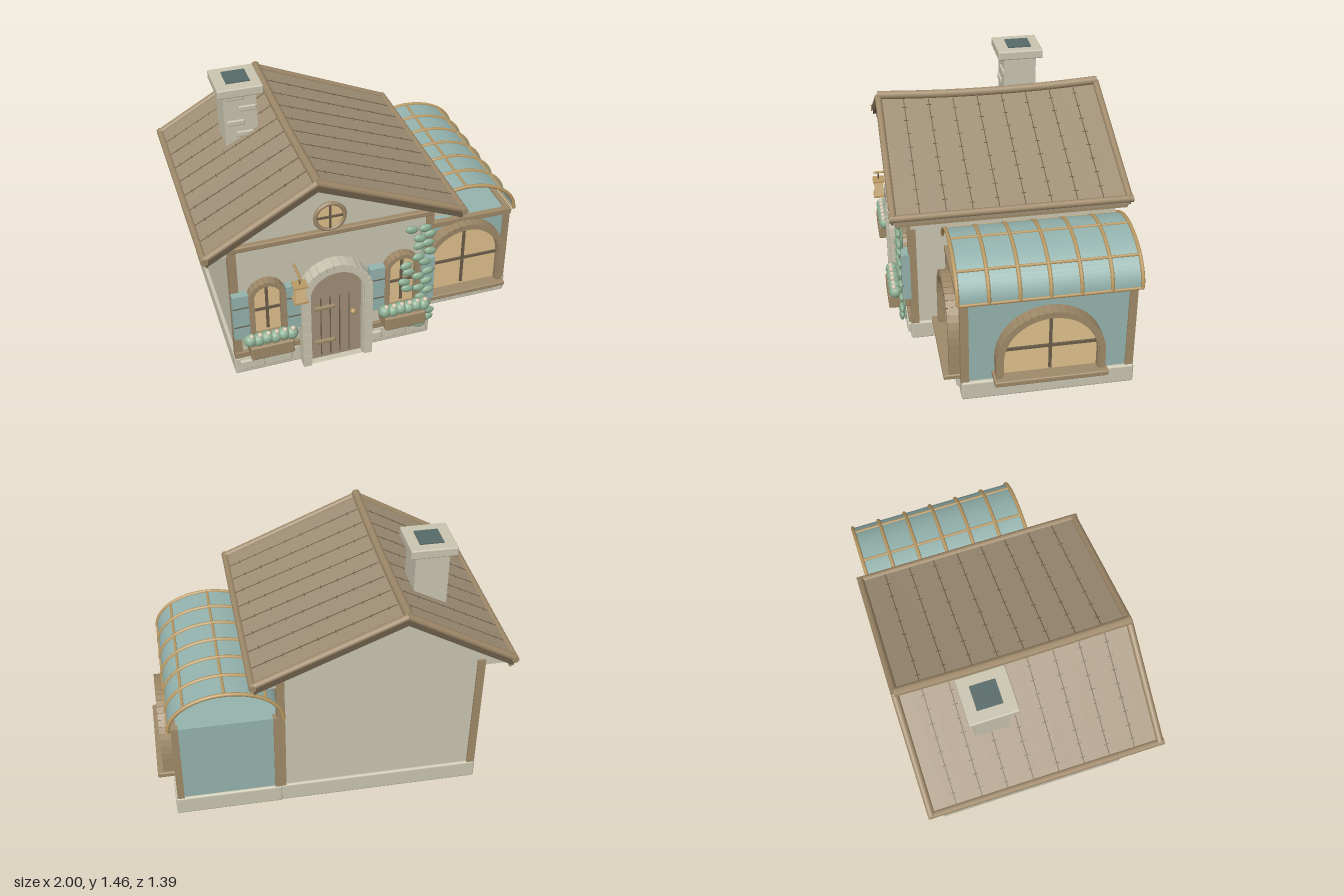
import * as THREE from 'three';
import { RoundedBoxGeometry } from 'three/addons/geometries/RoundedBoxGeometry.js';

const mat = (name, color, double) => {
  const m = new THREE.MeshStandardMaterial({ color });
  m.name = name;
  if (double) m.side = THREE.DoubleSide;
  return m;
};
const M = {
  wall: mat('plaster', 0xcac5b0),
  roof: mat('roofBrown', 0xa08f76),
  trim: mat('timber', 0x9f8969),
  dark: mat('darkTimber', 0x6b5e4a),
  teal: mat('teal', 0x94b3ae, true),
  amber: mat('amberGlass', 0xdfc08c),
  gold: mat('brass', 0xba9a64),
  leaf: mat('leaf', 0x8db093),
  petal: mat('petal', 0xd9cbb4),
  soot: mat('soot', 0x566a68),
};

function add(parent, name, geo, m, x = 0, y = 0, z = 0) {
  const mesh = new THREE.Mesh(geo, m);
  mesh.name = name;
  mesh.position.set(x, y, z);
  parent.add(mesh);
  return mesh;
}
// Box given by its limits on each axis
function span(parent, name, m, x0, x1, y0, y1, z0, z1, r = 0) {
  const s = [x1 - x0, y1 - y0, z1 - z0];
  const geo = r ? new RoundedBoxGeometry(...s, 2, r) : new THREE.BoxGeometry(...s);
  return add(parent, name, geo, m, (x0 + x1) / 2, (y0 + y1) / 2, (z0 + z1) / 2);
}
// Round bar between or through points
function bar(parent, name, m, r, pts) {
  const curve = new THREE.CatmullRomCurve3(pts.map(p => new THREE.Vector3(...p)));
  if (pts.length > 2) return add(parent, name, new THREE.TubeGeometry(curve, pts.length * 2, r, 8), m);
  const [a, b] = curve.points;
  const mesh = add(parent, name, new THREE.CylinderGeometry(r, r, a.distanceTo(b), 10), m);
  mesh.position.copy(a).lerp(b, 0.5);
  mesh.quaternion.setFromUnitVectors(new THREE.Vector3(0, 1, 0), b.clone().sub(a).normalize());
  return mesh;
}
function archShape(hw, spring) {
  const s = new THREE.Shape();
  s.moveTo(-hw, 0);
  s.lineTo(hw, 0);
  s.lineTo(hw, spring);
  s.absarc(0, spring, hw, 0, Math.PI, false);
  s.lineTo(-hw, 0);
  return s;
}
const extrude = (shape, depth) => new THREE.ExtrudeGeometry(shape, { depth, bevelEnabled: false, curveSegments: 24 });

// Arched opening with a ring of blocks, standing on its origin and facing +z
function arch(parent, name, { hw, spring, ring, depth, fill, block, arcN, jambN, barY, x, y, z, turn = 0 }) {
  const g = new THREE.Group();
  g.name = name;
  g.position.set(x, y, z);
  g.rotation.y = turn;
  parent.add(g);
  const inner = hw - ring;
  add(g, 'pane', extrude(archShape(inner, spring), depth * 0.4), fill);
  const backing = archShape(hw - 0.004, spring);
  backing.holes.push(archShape(inner - 0.006, spring));
  add(g, 'ring', extrude(backing, depth * 0.85), block);
  const mid = hw - ring / 2;
  const arcLen = Math.PI * mid / arcN;
  for (let i = 0; i < arcN; i++) {
    const a = (i + 0.5) / arcN * Math.PI;
    const b = add(g, 'archBlock', new THREE.BoxGeometry(ring, arcLen * 0.97, depth), block,
      Math.cos(a) * mid, spring + Math.sin(a) * mid, depth / 2);
    b.rotation.z = a;
  }
  for (const s of [-1, 1]) for (let i = 0; i < jambN; i++)
    add(g, 'jambBlock', new THREE.BoxGeometry(ring, spring / jambN * 0.97, depth), block,
      s * mid, (i + 0.5) * spring / jambN, depth / 2);
  if (barY) {
    const t = 0.008, zb = depth * 0.55;
    span(g, 'uprightBar', M.dark, -t, t, 0.02, spring + inner, 0, zb);
    span(g, 'crossBar', M.dark, -inner, inner, barY - t, barY + t, 0, zb);
  }
  return g;
}

// Roof: sagging ridge, straight eaves
const RIDGE = -0.37, EAVE_Y = 0.915;
const ridgeY = z => 1.237 + 0.022 * ((z + 0.02) / 0.65) ** 2;
const eaveX = s => (s > 0 ? 0.455 : -0.98);
function roofPoint(s, u, z, off = 0) {
  return [RIDGE + (eaveX(s) - RIDGE) * u, ridgeY(z) + (EAVE_Y - ridgeY(z)) * u + off, z];
}
function roofPiece(parent, name, m, s, u0, u1, z0, z1, low, high, seg = 1) {
  const geo = new THREE.BoxGeometry(1, 1, 1, 1, 1, seg);
  const p = geo.attributes.position;
  for (let i = 0; i < p.count; i++) {
    const t = 0.5 + s * p.getX(i);
    p.setXYZ(i, ...roofPoint(s, u0 + (u1 - u0) * t, z0 + (z1 - z0) * (p.getZ(i) + 0.5),
      low + (high - low) * (p.getY(i) + 0.5)));
  }
  geo.computeVertexNormals();
  add(parent, name, geo, m);
}
function buildRoof(g) {
  for (const s of [-1, 1]) {
    roofPiece(g, 'roofSlope', M.roof, s, 0, 1, -0.675, 0.64, -0.04, 0.005, 14);
    for (let i = 0; i < 8; i++) {
      const z = -0.53 + i * 0.146;
      roofPiece(g, 'plankSeam', M.dark, s, 0.03, 0.98, z - 0.0025, z + 0.0025, 0, 0.0075);
      for (let k = 0; k < 8; k++) {
        const u = 0.08 + k * 0.115 + (i % 3) * 0.02;
        roofPiece(g, 'shingleNotch', M.dark, s, u, u + 0.005, z - 0.015, z + 0.015, 0, 0.0065);
      }
    }
    for (const z of [0.638, -0.675]) {
      bar(g, 'bargeRoll', M.trim, 0.02, [roofPoint(s, 0, z, 0.005), roofPoint(s, 1, z, 0.003)]);
      roofPiece(g, 'bargeBoard', M.dark, s, 0, 0.99, z - 0.012, z + 0.012, -0.045, 0);
    }
    bar(g, 'eaveRoll', M.trim, 0.02, [[eaveX(s), EAVE_Y, -0.695], [eaveX(s), EAVE_Y, 0.66]]);
    const x = s > 0 ? 0.44 : -0.965;
    span(g, 'fascia', M.trim, x - 0.006, x + 0.006, 0.855, 0.89, -0.67, 0.63);
  }
  bar(g, 'ridgeRoll', M.trim, 0.026, [0.645, 0.3, -0.02, -0.35, -0.68].map(z => [RIDGE, ridgeY(z) + 0.015, z]));
}

function buildShell(g) {
  // Footings and their facing stones
  span(g, 'mainFooting', M.wall, -0.85, 0.32, 0, 0.115, -0.615, 0.56, 0.012);
  span(g, 'annexFooting', M.wall, 0.3, 0.91, 0, 0.115, -0.62, 0.345, 0.012);
  const stones = [[-0.82, -0.68, 0.56], [-0.66, -0.52, 0.56], [-0.05, 0.02, 0.56], [0.04, 0.17, 0.56], [0.19, 0.3, 0.56],
    [0.34, 0.44, 0.345], [0.46, 0.57, 0.345], [0.59, 0.7, 0.345], [0.72, 0.83, 0.345]];
  for (const [a, b, z] of stones) span(g, 'facingStone', M.wall, a, b, 0.035, 0.1, z - 0.02, z + 0.018, 0.009);

  // House body with gables
  const pts = [[-0.83, 0.1], [0.305, 0.1], [0.305, 0.83], [0.44, 0.83], [0.44, 0.885], [RIDGE, 1.21], [-0.965, 0.885], [-0.965, 0.83], [-0.83, 0.83]];
  const body = extrude(new THREE.Shape(pts.map(p => new THREE.Vector2(...p))), 1.145);
  add(g, 'houseBody', body, M.wall, 0, 0, -0.6);
  for (const x of [-0.845, 0.275]) for (const z of [-0.612, 0.51])
    span(g, 'cornerPost', M.trim, x, x + 0.045, 0.112, 0.87, z, z + 0.047);
  span(g, 'frontBeam', M.trim, -0.85, 0.315, 0.865, 0.9, 0.53, 0.575, 0.008);
  span(g, 'sillBeam', M.trim, -0.845, -0.465, 0.125, 0.16, 0.53, 0.57);
  span(g, 'sillBeam', M.trim, -0.06, 0.315, 0.125, 0.16, 0.53, 0.57);

  // Annex
  span(g, 'annexBody', M.teal, 0.3, 0.89, 0.11, 0.62, -0.605, 0.335);
  for (const [x, z] of [[0.86, 0.302], [0.86, -0.615], [0.3, -0.615], [0.3, 0.302]])
    span(g, 'annexPost', M.trim, x, x + 0.04, 0.112, 0.625, z, z + 0.045);
  span(g, 'annexBeam', M.trim, 0.31, 0.905, 0.595, 0.627, 0.315, 0.352);
  span(g, 'annexSideBeam', M.trim, 0.87, 0.905, 0.615, 0.63, -0.615, 0.34);

  // Barrel vault of glass, open at both ends
  const vault = new THREE.CylinderGeometry(1, 1, 1.0, 32, 1, true, Math.PI / 2, Math.PI);
  vault.rotateX(Math.PI / 2).scale(0.313, 0.215, 1);
  add(g, 'vaultGlass', vault, M.teal, 0.6, 0.635, -0.137);
  const onVault = (a, z) => [0.6 + 0.315 * Math.cos(a), 0.635 + 0.216 * Math.sin(a), z];
  for (let i = 0; i < 7; i++) {
    const z = 0.358 - i * 0.165;
    bar(g, 'vaultRib', M.gold, 0.011, Array.from({ length: 17 }, (_, k) => onVault(k / 16 * Math.PI, z)));
  }
  for (let i = 0; i < 5; i++)
    bar(g, 'vaultPurlin', M.gold, 0.008, [onVault(i * Math.PI / 4, 0.36), onVault(i * Math.PI / 4, -0.635)]);
}

function buildOpenings(g) {
  const pane = { fill: M.amber, block: M.trim };
  arch(g, 'annexFrontWindow', { ...pane, hw: 0.26, spring: 0.205, ring: 0.036, depth: 0.07, arcN: 20, jambN: 5, barY: 0.2, x: 0.6, y: 0.145, z: 0.335 });
  span(g, 'annexFrontSill', M.trim, 0.31, 0.865, 0.115, 0.145, 0.33, 0.437, 0.008);
  arch(g, 'annexSideWindow', { ...pane, hw: 0.3, spring: 0.11, ring: 0.036, depth: 0.075, arcN: 24, jambN: 3, barY: 0.17, x: 0.89, y: 0.16, z: -0.137, turn: Math.PI / 2 });
  span(g, 'annexSideSill', M.trim, 0.88, 0.998, 0.135, 0.168, -0.45, 0.177, 0.008);

  // Door with straps, grooves and knob
  const door = arch(g, 'door', { hw: 0.205, spring: 0.485, ring: 0.048, depth: 0.085, arcN: 15, jambN: 6, fill: M.roof, block: M.wall, x: -0.265, y: 0.01, z: 0.55 });
  for (const x of [-0.085, -0.03, 0.025, 0.08]) span(door, 'groove', M.dark, x - 0.003, x + 0.003, 0.02, 0.44, 0.02, 0.038);
  for (const y of [0.125, 0.375]) span(door, 'strap', M.trim, -0.125, -0.005, y - 0.012, y + 0.012, 0.02, 0.05, 0.005);
  add(door, 'knob', new THREE.SphereGeometry(0.018, 12, 8), M.gold, 0.1, 0.315, 0.052);

  // Cottage windows with shutters and flower boxes
  for (const x of [-0.652, 0.128]) {
    arch(g, 'cottageWindow', { ...pane, hw: 0.105, spring: 0.25, ring: 0.026, depth: 0.055, arcN: 11, jambN: 6, barY: 0.16, x, y: 0.3, z: 0.55 });
    for (const s of [-1, 1]) {
      const c = x + s * 0.149;
      span(g, 'shutter', M.teal, c - 0.044, c + 0.044, 0.29, 0.59, 0.55, 0.598);
      for (const y of [0.38, 0.51]) span(g, 'shutterBatten', M.dark, c - 0.044, c + 0.044, y - 0.003, y + 0.003, 0.59, 0.601);
    }
    span(g, 'flowerBox', M.trim, x - 0.123, x + 0.123, 0.185, 0.275, 0.55, 0.678, 0.01);
    for (let i = 0; i < 6; i++) {
      const bx = x + (i - 2.5) * 0.047;
      add(g, 'bush', new THREE.SphereGeometry(0.038, 12, 8), M.leaf, bx, 0.306 - (i % 2) * 0.006, 0.637);
      add(g, 'blossom', new THREE.SphereGeometry(0.015, 8, 6), M.petal, bx + 0.008, 0.335, 0.645);
    }
  }

  // Round gable window
  const r = new THREE.Group();
  r.name = 'gableWindow';
  r.position.set(-0.283, 0.985, 0.545);
  g.add(r);
  add(r, 'pane', new THREE.CylinderGeometry(0.08, 0.08, 0.02, 28).rotateX(Math.PI / 2), M.amber, 0, 0, 0.008);
  add(r, 'frame', new THREE.TorusGeometry(0.082, 0.012, 8, 28), M.trim, 0, 0, 0.018);
  span(r, 'uprightBar', M.dark, -0.006, 0.006, -0.075, 0.075, 0, 0.026);
  span(r, 'crossBar', M.dark, -0.075, 0.075, -0.006, 0.006, 0, 0.026);
}

function buildDetails(g) {
  // Chimney
  span(g, 'chimney', M.wall, -0.68, -0.49, 0.95, 1.42, -0.33, -0.135);
  span(g, 'chimneyCap', M.wall, -0.715, -0.455, 1.403, 1.457, -0.365, -0.095, 0.008);
  span(g, 'flue', M.soot, -0.65, -0.515, 1.44, 1.463, -0.305, -0.165);
  for (const [x, y] of [[-0.61, 1.385], [-0.54, 1.31], [-0.61, 1.225], [-0.56, 1.15]])
    span(g, 'chimneyBrick', M.wall, x - 0.055, x + 0.045, y - 0.016, y + 0.016, -0.145, -0.123, 0.006);

  // Lantern on a bracket
  bar(g, 'lanternArm', M.gold, 0.007, [[-0.487, 0.7, 0.545], [-0.487, 0.7, 0.69]]);
  bar(g, 'lanternHook', M.dark, 0.004, [[-0.487, 0.7, 0.662], [-0.487, 0.64, 0.662]]);
  span(g, 'lanternGlass', M.amber, -0.517, -0.457, 0.547, 0.645, 0.634, 0.69);
  for (const y of [0.538, 0.643]) span(g, 'lanternPlate', M.gold, -0.526, -0.448, y, y + 0.01, 0.627, 0.698);

  // Climbing ivy: two loose strands of leaves
  bar(g, 'ivyStem', M.leaf, 0.006, [[0.27, 0.115, 0.585], [0.24, 0.3, 0.59], [0.2, 0.45, 0.59], [0.25, 0.62, 0.585], [0.23, 0.82, 0.58]]);
  const leaves = [[0.17, 0.82], [0.25, 0.815], [0.28, 0.77], [0.22, 0.75], [0.27, 0.71], [0.22, 0.7], [0.285, 0.65], [0.215, 0.62],
    [0.145, 0.575], [0.255, 0.58], [0.16, 0.525], [0.275, 0.51], [0.135, 0.46], [0.22, 0.485], [0.27, 0.44], [0.155, 0.41], [0.225, 0.4],
    [0.28, 0.37], [0.24, 0.33], [0.27, 0.275], [0.225, 0.235], [0.29, 0.215], [0.215, 0.19], [0.285, 0.165], [0.18, 0.14], [0.24, 0.125]];
  leaves.forEach(([x, y], i) => {
    const leaf = add(g, 'ivyLeaf', new THREE.SphereGeometry(0.038, 12, 8), M.leaf, x, y, 0.605);
    leaf.scale.set(1, 0.64, 0.4);
    leaf.rotation.z = (i % 3 - 1) * 0.2;
  });
}

export function createModel() {
  const g = new THREE.Group();
  g.name = 'cottage';
  for (const build of [buildShell, buildRoof, buildOpenings, buildDetails]) build(g);
  return g;
}
